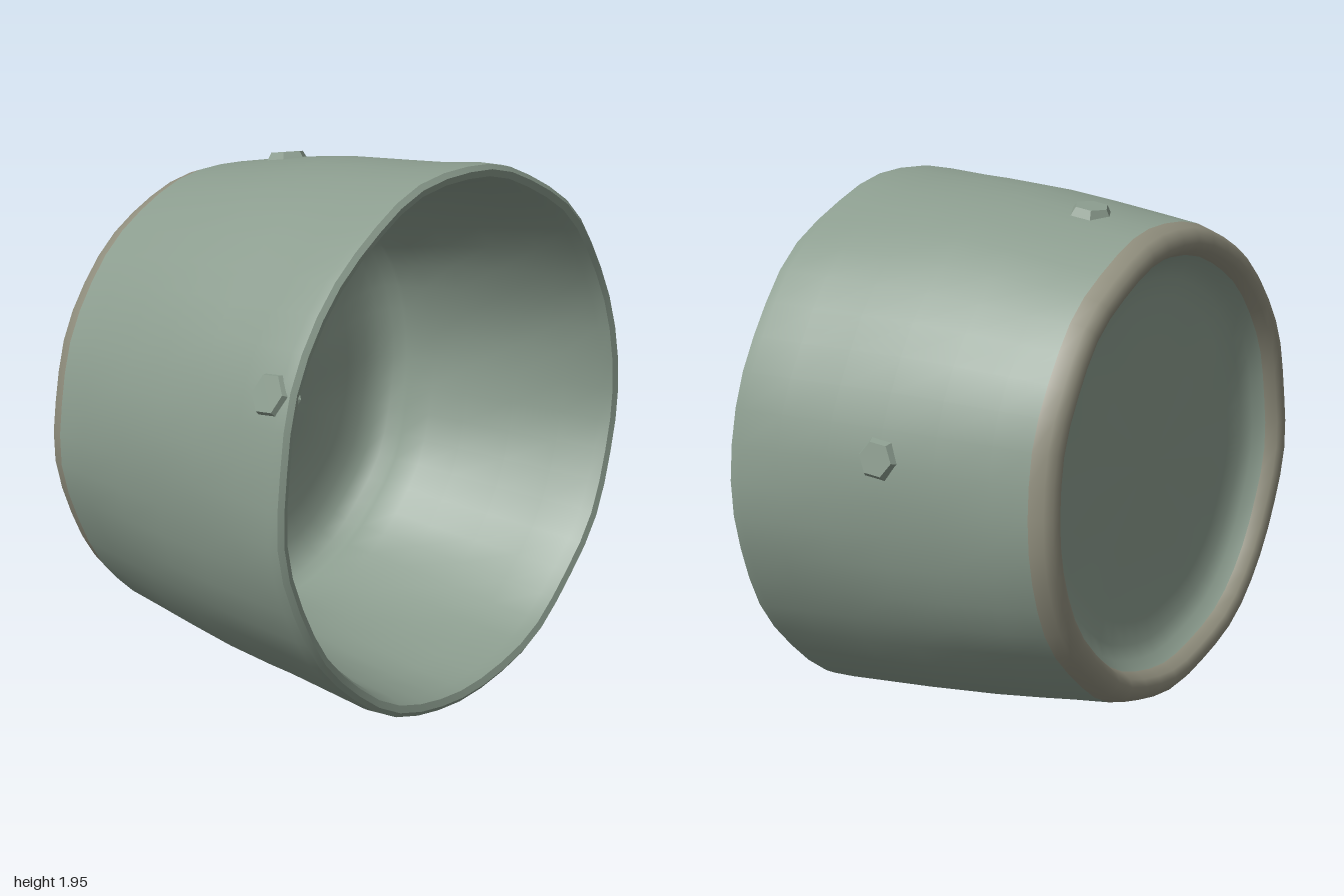
import * as THREE from 'three';
import { toCreasedNormals } from 'three/addons/utils/BufferGeometryUtils.js';

const CENTER_Y = 0.98;
const glaze = new THREE.MeshStandardMaterial({ color: 0x8b9c8e });
const clay = new THREE.MeshStandardMaterial({ color: 0x918f7e });

// Gentle hand-thrown unevenness, depending only on position so parts meet
function wobble(geometry) {
  const p = geometry.attributes.position;
  for (let i = 0; i < p.count; i++) {
    const x = p.getX(i), y = p.getY(i), z = p.getZ(i);
    const r = Math.hypot(x, y);
    if (r < 0.01) continue;
    const a = Math.atan2(y, x);
    const k = 1 + 0.003 * Math.sin(7 * a + 4 * z) + 0.003 * Math.sin(13 * a - 6 * z);
    // The mouth is slightly flattened, the back rounder and a little higher
    const t = THREE.MathUtils.smoothstep(z, -0.1, 0.6);
    const lip = r * r * (-0.008 * x / r - 0.006 * y / r + 0.004 * Math.sin(9 * a));
    p.setXYZ(i, x * k, y * k * (1 - 0.02 * t) + 0.008 * (1 - t), z + lip);
  }
  return geometry;
}

// Revolve [radius, z] points around the z axis
function turned(name, profile, material) {
  const points = profile.map(([r, z]) => new THREE.Vector2(r, z));
  const geometry = wobble(new THREE.LatheGeometry(points, 48).rotateX(Math.PI / 2));
  const mesh = new THREE.Mesh(toCreasedNormals(geometry, 0.7), material);
  mesh.name = name;
  mesh.position.y = CENTER_Y;
  return mesh;
}

// Small six-sided lump of clay, its axis along the given outward direction
function lump(name, position, direction, radius, height) {
  const geometry = new THREE.CylinderGeometry(radius * 0.72, radius, height, 6);
  const mesh = new THREE.Mesh(toCreasedNormals(geometry, 0.5), glaze);
  mesh.name = name;
  mesh.position.set(...position);
  mesh.quaternion.setFromUnitVectors(
    new THREE.Vector3(0, 1, 0), new THREE.Vector3(...direction).normalize());
  return mesh;
}

export function createModel() {
  const group = new THREE.Group();
  group.name = 'bowl';

  // Underside, recessed with a sloping edge
  group.add(turned('underside', [
    [0, -0.49], [0.35, -0.49], [0.58, -0.49], [0.66, -0.5],
    [0.71, -0.525], [0.74, -0.565],
  ], glaze));

  // Bare narrow foot ring
  group.add(turned('footRing', [
    [0.74, -0.565], [0.76, -0.605], [0.785, -0.618], [0.815, -0.612],
    [0.838, -0.59], [0.855, -0.54],
  ], clay));

  // Flared outer wall, rounded lip, inner wall down to a ridge, then the hollowed floor
  group.add(turned('bowlWall', [
    [0.855, -0.54], [0.877, -0.4], [0.908, -0.2], [0.936, 0], [0.958, 0.2],
    [0.978, 0.4], [0.995, 0.56], [0.993, 0.598], [0.975, 0.612], [0.95, 0.603],
    [0.933, 0.56], [0.912, 0.4], [0.879, 0.2], [0.842, 0], [0.81, -0.15],
    [0.788, -0.25], [0.798, -0.28], [0.782, -0.33], [0.74, -0.37], [0.68, -0.395],
    [0.58, -0.405], [0.35, -0.41], [0, -0.41],
  ], glaze));

  // Three lumps on the outside
  group.add(lump('topLump', [0.11, 1.878, -0.31], [0.08, 1, -0.15], 0.085, 0.04));
  group.add(lump('leftLump', [0.928, 1.13, 0], [1, 0.16, -0.14], 0.085, 0.04));
  group.add(lump('rightLump', [-0.908, 1.33, 0.52], [-0.93, 0.37, -0.1], 0.095, 0.06));

  return group;
}
